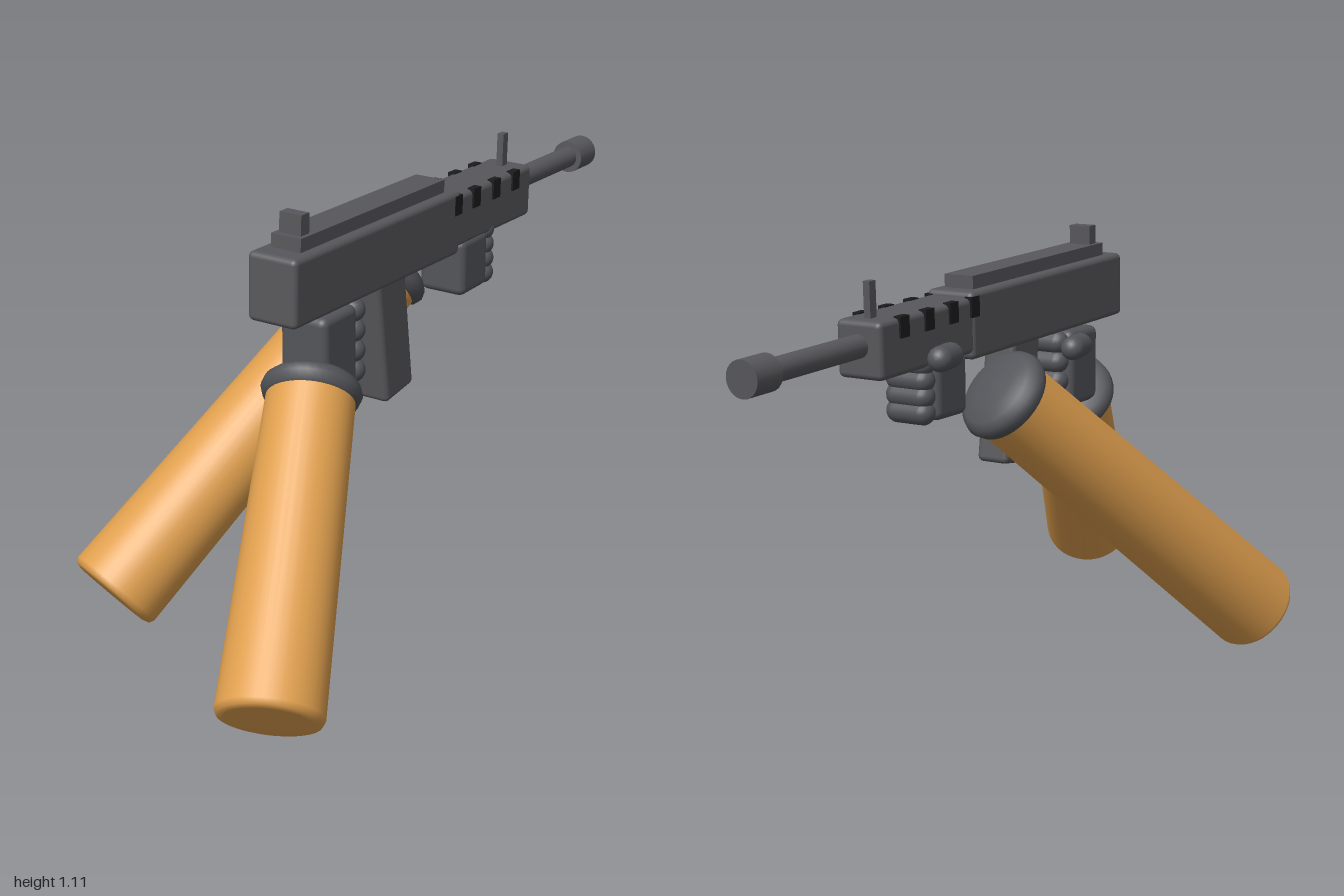
import * as THREE from 'three';
import { RoundedBoxGeometry } from 'three/addons/geometries/RoundedBoxGeometry.js';

const mat = (name, color) => {
  const m = new THREE.MeshStandardMaterial({ color });
  m.name = name;
  return m;
};

export function createModel() {
  const gunmetal = mat('gunmetal', 0x58585c);
  const glove = mat('glove grey', 0x54555a);
  const black = mat('black', 0x1c1c1e);
  const sleeveColor = mat('sleeve orange', 0xdf9f4e);

  const root = new THREE.Group();
  root.name = 'armsHoldingRifle';

  const add = (parent, name, geo, material, x, y, z, rx = 0) => {
    const m = new THREE.Mesh(geo, material);
    m.name = name;
    m.position.set(x, y, z);
    m.rotation.x = rx;
    parent.add(m);
    return m;
  };
  const rounded = (w, h, d, r = 0.014) => new RoundedBoxGeometry(w, h, d, 3, r);

  // Rifle, muzzle towards -z and dipping slightly
  const gun = new THREE.Group();
  gun.name = 'rifle';
  gun.position.set(0.083, 0.95, 0);
  gun.rotation.x = -0.033;
  root.add(gun);

  add(gun, 'receiver', rounded(0.134, 0.165, 0.72), gunmetal, 0, -0.005, 0.137);
  add(gun, 'handguard', rounded(0.126, 0.136, 0.39), gunmetal, 0, -0.004, -0.395);
  add(gun, 'topRail', new THREE.BoxGeometry(0.082, 0.04, 0.62), gunmetal, 0, 0.09, 0.13);
  add(gun, 'rearSight', new THREE.BoxGeometry(0.06, 0.055, 0.032), gunmetal, 0, 0.131, 0.407);
  add(gun, 'frontSight', new THREE.BoxGeometry(0.018, 0.09, 0.024), gunmetal, 0, 0.104, -0.54);
  add(gun, 'barrel', new THREE.CylinderGeometry(0.028, 0.028, 0.38, 24), gunmetal, 0, 0.006, -0.75, Math.PI / 2);
  add(gun, 'muzzle', new THREE.CylinderGeometry(0.043, 0.043, 0.085, 24), gunmetal, 0, 0.006, -0.956, Math.PI / 2);
  add(gun, 'magazine', rounded(0.09, 0.36, 0.125), gunmetal, 0, -0.217, 0.034, 0.16);

  // Vent slots along both upper edges of the handguard
  for (const z of [-0.21, -0.3, -0.4, -0.5]) {
    for (const side of [-1, 1]) {
      add(gun, 'ventSlot', new THREE.BoxGeometry(0.02, 0.05, 0.035), black, side * 0.058, 0.042, z);
    }
  }

  // Gloved hand: palm block, four stacked fingers across x and a thumb on the -x side
  const hand = (name, palm, palmSize, fingerZ, fingerTop, fingerStep, thumb) => {
    const g = new THREE.Group();
    g.name = name;
    root.add(g);
    add(g, 'palm', rounded(...palmSize, 0.02), glove, ...palm);
    for (let i = 0; i < 4; i++) {
      const f = add(g, 'finger', new THREE.CapsuleGeometry(0.03, 0.07, 6, 16), glove,
        palm[0], fingerTop - i * fingerStep, fingerZ);
      f.rotation.z = Math.PI / 2;
    }
    const t = add(g, 'thumb', new THREE.CapsuleGeometry(0.031, 0.06, 6, 16), glove, ...thumb);
    t.rotation.set(Math.PI / 2, 0, -0.2);
  };
  hand('rearHand', [0.083, 0.765, 0.308], [0.13, 0.2, 0.14], 0.217, 0.838, 0.051, [0.006, 0.826, 0.245]);
  hand('frontHand', [0.083, 0.805, -0.305], [0.13, 0.15, 0.13], -0.388, 0.87, 0.039, [-0.005, 0.888, -0.37]);

  // Tapered sleeve with a bulging closed cuff at the wrist
  const arm = (name, wrist, elbow) => {
    const a = new THREE.Vector3(...wrist);
    const b = new THREE.Vector3(...elbow);
    const g = new THREE.Group();
    g.name = name;
    const length = a.distanceTo(b);
    g.position.copy(b);
    g.quaternion.setFromUnitVectors(new THREE.Vector3(0, 1, 0), a.clone().sub(b).normalize());
    root.add(g);
    const sleeve = [[0, 0], [0.1, 0], [0.117, 0.005], [0.123, 0.018], [0.105, length]];
    add(g, 'sleeve', new THREE.LatheGeometry(sleeve.map(p => new THREE.Vector2(...p)), 40), sleeveColor, 0, 0, 0);
    const cuff = [[0.1, -0.026], [0.113, -0.02], [0.12, 0], [0.114, 0.018], [0.098, 0.032], [0.055, 0.042], [0, 0.045]];
    add(g, 'cuff', new THREE.LatheGeometry(cuff.map(p => new THREE.Vector2(...p)), 40), glove, 0, length, 0);
  };
  arm('leftArm', [0.105, 0.68, 0.372], [0.36, 0.155, 0.915]);
  arm('rightArm', [-0.06, 0.777, -0.205], [-0.362, 0.1, 0.575]);

  return root;
}
